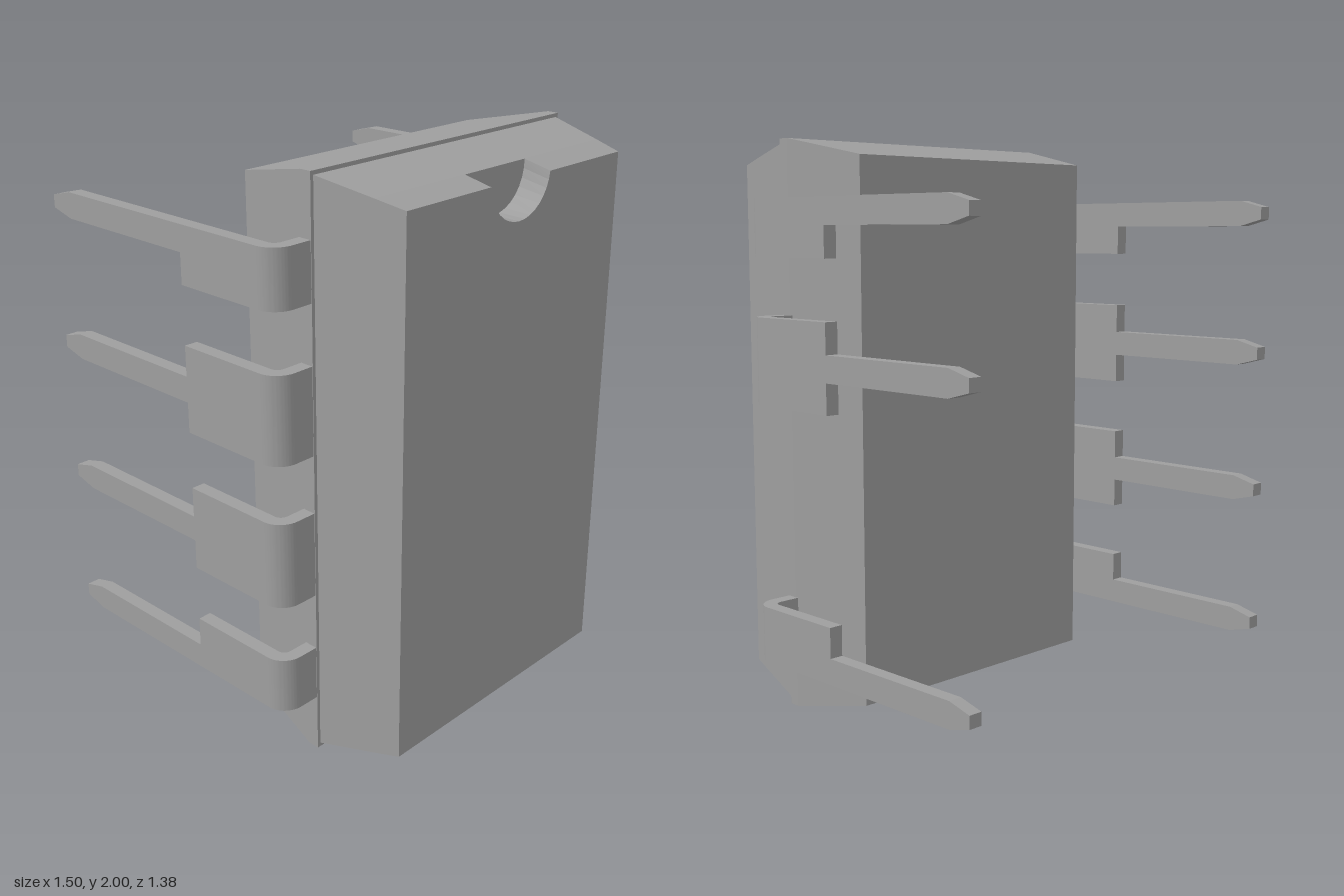
import * as THREE from 'three';
import { toCreasedNormals } from 'three/addons/utils/BufferGeometryUtils.js';

const material = new THREE.MeshStandardMaterial({ color: 0x9e9e9e });

function part(name, geometry) {
  const mesh = new THREE.Mesh(toCreasedNormals(geometry, 0.17), material);
  mesh.name = name;
  return mesh;
}

// Counter-clockwise rectangle outline, optionally with a round notch in its top edge
function outline(halfX, bottom, top, notch = false) {
  const pts = [[-halfX, bottom], [halfX, bottom], [halfX, top]];
  if (notch) {
    const r = 0.148, cy = 1.939, n = 16;
    const start = Math.asin((top - cy) / r);
    for (let i = 0; i <= n; i++) {
      const t = start - (i / n) * (Math.PI + 2 * start);
      pts.push([r * Math.cos(t), cy + r * Math.sin(t)]);
    }
  }
  pts.push([-halfX, top]);
  return pts.map(([x, y]) => new THREE.Vector2(x, y));
}

// Skin between matching outlines stacked along z, with end caps
function loft(sections, backCap = true) {
  const pos = [];
  const put = (s, i) => pos.push(s.pts[i].x, s.pts[i].y, s.z);
  for (let k = 0; k + 1 < sections.length; k++) {
    const a = sections[k], b = sections[k + 1], n = a.pts.length;
    for (let i = 0; i < n; i++) {
      const j = (i + 1) % n;
      put(a, i); put(a, j); put(b, j);
      put(a, i); put(b, j); put(b, i);
    }
  }
  const first = sections[0], last = sections[sections.length - 1];
  for (const [i, j, k] of THREE.ShapeUtils.triangulateShape(last.pts, [])) {
    put(last, i); put(last, j); put(last, k);
  }
  if (backCap) {
    for (const [i, j, k] of THREE.ShapeUtils.triangulateShape(first.pts, [])) {
      put(first, i); put(first, k); put(first, j);
    }
  }
  const g = new THREE.BufferGeometry();
  g.setAttribute('position', new THREE.Float32BufferAttribute(pos, 3));
  g.computeVertexNormals();
  return g;
}

const OUT = 0.749, IN = 0.7, FRONT = 0.384, BACK = 0.336, SHOULDER = -0.035;

// One lead: a wide bent shoulder from y = low to high, and a narrow pointed pin
function createLead(low, high) {
  const lead = new THREE.Group();
  lead.name = 'lead';

  // Bent strip, drawn in x and -z
  const strip = new THREE.Shape();
  strip.moveTo(0.57, -FRONT);
  strip.lineTo(OUT - 0.075, -FRONT);
  strip.absarc(OUT - 0.075, -FRONT + 0.075, 0.075, -Math.PI / 2, 0, false);
  strip.lineTo(OUT, -SHOULDER);
  strip.lineTo(IN, -SHOULDER);
  strip.lineTo(IN, -BACK + 0.027);
  strip.absarc(IN - 0.027, -BACK + 0.027, 0.027, 0, -Math.PI / 2, true);
  strip.lineTo(0.57, -BACK);
  const bent = new THREE.ExtrudeGeometry(strip, { depth: high - low, bevelEnabled: false, curveSegments: 12 });
  bent.rotateX(-Math.PI / 2).translate(0, low, 0);
  lead.add(part('leadShoulder', bent));

  // Tapered pin, drawn in z and y
  const pin = new THREE.Shape([
    [SHOULDER, -0.045], [SHOULDER, 0.045], [-0.6, 0.045],
    [-0.688, 0.022], [-0.688, -0.022], [-0.6, -0.045],
  ].map(([z, y]) => new THREE.Vector2(z, y)));
  const tip = new THREE.ExtrudeGeometry(pin, { depth: OUT - IN, bevelEnabled: false });
  tip.rotateY(-Math.PI / 2).translate(OUT, 0, 0);
  lead.add(part('leadPin', tip));
  return lead;
}

// Leads on the +x side; the end leads have their outer half trimmed
function createLeadRow(name, offsets) {
  const row = new THREE.Group();
  row.name = name;
  for (const y of offsets) {
    const low = y < -0.5 ? -0.045 : -0.15;
    const high = y > 0.5 ? 0.045 : 0.15;
    const lead = createLead(low, high);
    lead.position.y = y;
    row.add(lead);
  }
  row.position.y = 1.001;
  return row;
}

export function createModel() {
  const model = new THREE.Group();
  model.name = 'chipPackage';

  // Rear half of the case, with a straight rim
  model.add(part('rearCase', loft([
    { z: 0.038, pts: outline(0.538, 0.063, 1.937) },
    { z: 0.345, pts: outline(0.6, 0, 2) },
    { z: 0.386, pts: outline(0.6, 0, 2) },
  ])));

  // Front half, slightly smaller, with a round notch at its top edge
  model.add(part('frontCase', loft([
    { z: 0.386, pts: outline(0.588, 0.014, 1.987) },
    { z: 0.587, pts: outline(0.546, 0.057, 1.945) },
  ], false)));
  model.add(part('notchedFace', loft([
    { z: 0.587, pts: outline(0.546, 0.057, 1.945, true) },
    { z: 0.688, pts: outline(0.524, 0.079, 1.923, true) },
  ], false)));

  // Three leads on the left, four on the right (the row turned half a turn)
  model.add(createLeadRow('leftLeads', [-0.75, 0.25, 0.75]));
  const right = createLeadRow('rightLeads', [-0.75, -0.25, 0.25, 0.75]);
  right.rotation.z = Math.PI;
  model.add(right);
  return model;
}
